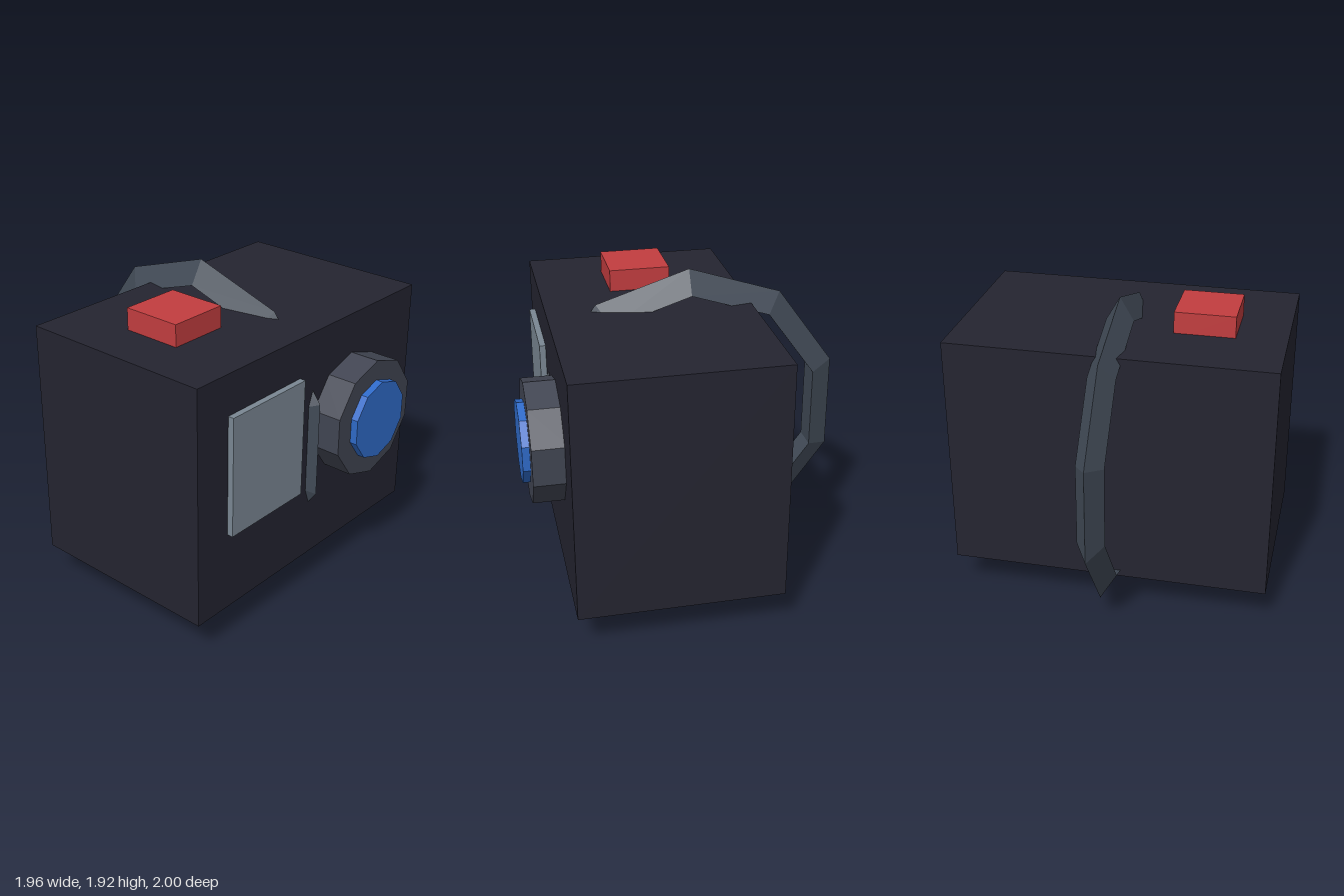
import * as THREE from 'three';

const paint = (name, color) => {
  const m = new THREE.MeshStandardMaterial({ color });
  m.name = name;
  m.flatShading = true;
  return m;
};

export function createModel() {
  const model = new THREE.Group();
  model.name = 'camera';

  const charcoal = paint('charcoal', 0x242430);
  const slate = paint('slate', 0x414552);
  const strapGrey = paint('strapGrey', 0x414a56);
  const paleGrey = paint('paleGrey', 0x7a8793);
  const blue = paint('blue', 0x2f6ac8);
  const red = paint('red', 0xc23d3f);

  const add = (name, geometry, material, x, y, z) => {
    const mesh = new THREE.Mesh(geometry, material);
    mesh.name = name;
    mesh.position.set(x, y, z);
    model.add(mesh);
  };

  // Box given by its lower and upper corners
  const box = (name, material, [x0, y0, z0], [x1, y1, z1]) =>
    add(name, new THREE.BoxGeometry(x1 - x0, y1 - y0, z1 - z0), material,
      (x0 + x1) / 2, (y0 + y1) / 2, (z0 + z1) / 2);

  // Ten-sided disc facing the front
  const disc = (name, material, radius, z0, z1) =>
    add(name, new THREE.CylinderGeometry(radius, radius, z1 - z0, 10).rotateX(Math.PI / 2),
      material, 0.367, 1.083, (z0 + z1) / 2);

  box('body', charcoal, [-0.982, 0.225, -0.457], [0.982, 1.699, 0.771]);
  box('flashPanel', paleGrey, [-0.74, 0.716, 0.74], [-0.125, 1.453, 0.808]);
  box('shutterButton', red, [-0.677, 1.66, -0.029], [-0.309, 1.832, 0.34]);

  disc('lensBarrel', slate, 0.368, 0.74, 0.956);
  disc('lensGlass', blue, 0.245, 0.9, 1.0);

  // Strap: triangular ring around the body, with a corner at the top
  add('strap',
    new THREE.TorusGeometry(0.864, 0.096, 3, 10).rotateZ(Math.PI / 2).rotateY(Math.PI / 2),
    strapGrey, 0, 0.962, -0.087);

  return model;
}
